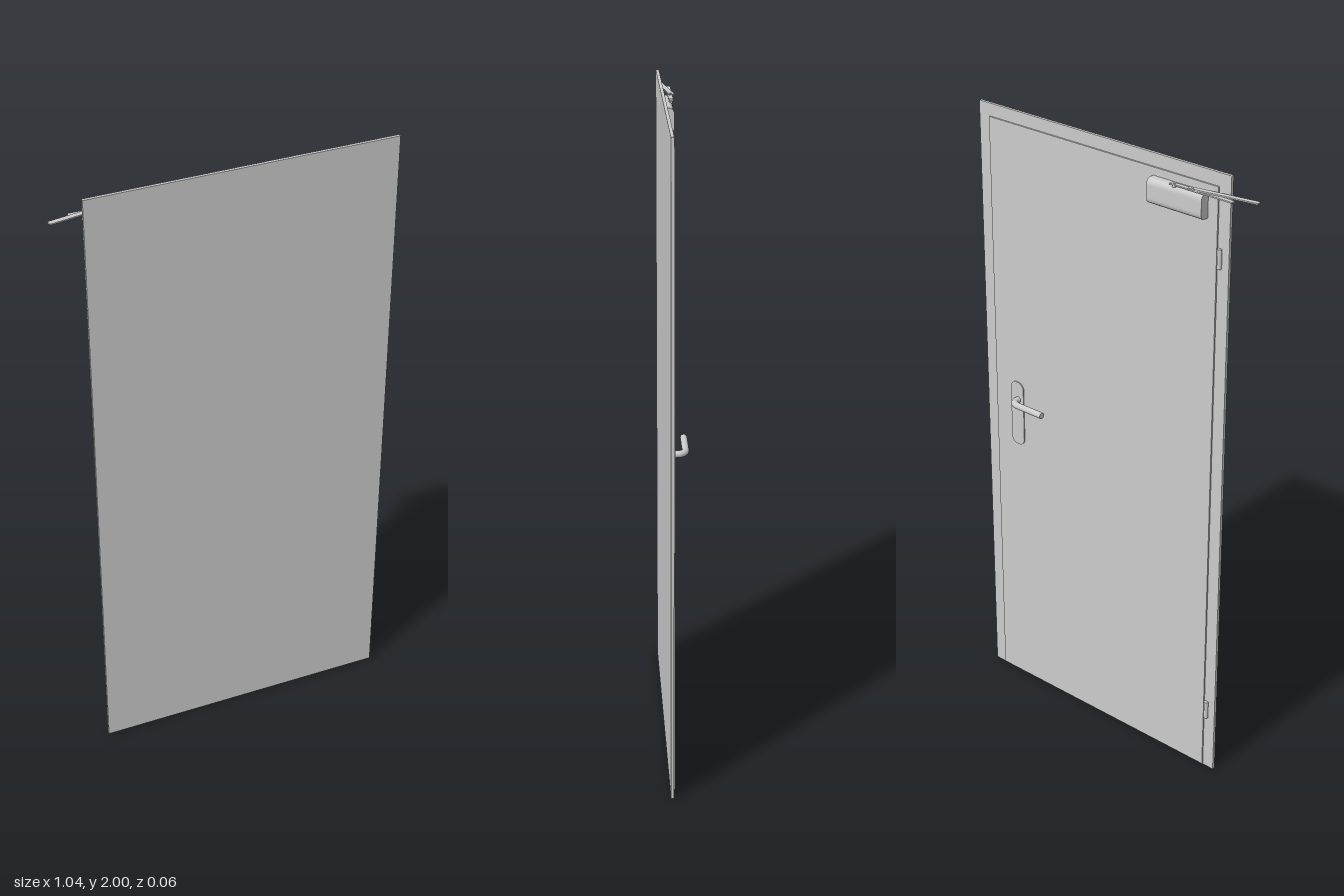
import * as THREE from 'three';

export function createModel() {
  const group = new THREE.Group();
  const material = new THREE.MeshStandardMaterial({ color: 0xcccccc, side: THREE.DoubleSide });

  const add = (name, geometry, x = 0, y = 0, z = 0) => {
    const mesh = new THREE.Mesh(geometry, material);
    mesh.name = name;
    mesh.position.set(x, y, z);
    group.add(mesh);
    return mesh;
  };
  // Box given by its minimum and maximum corners
  const box = (name, [x0, y0, z0], [x1, y1, z1]) =>
    add(name, new THREE.BoxGeometry(x1 - x0, y1 - y0, z1 - z0),
      (x0 + x1) / 2, (y0 + y1) / 2, (z0 + z1) / 2);

  // Door leaf: full front sheet and a smaller rebated slab behind it
  box('frontSheet', [-0.427, 0, 0.021], [0.52, 2, 0.0305]);
  box('rebatedSlab', [-0.387, 0.004, 0.016], [0.477, 1.96, 0.021]);

  // Hinges
  for (const [name, y] of [['upperHinge', 1.75], ['lowerHinge', 0.22]]) {
    add(name, new THREE.CylinderGeometry(0.007, 0.007, 0.06, 16), -0.396, y, 0.018);
  }

  // Handle plate with rounded corners
  const w = 0.026, h = 0.11, r = 0.022;
  const plate = new THREE.Shape();
  plate.moveTo(-w + r, -h);
  plate.lineTo(w - r, -h);
  plate.absarc(w - r, -h + r, r, -Math.PI / 2, 0);
  plate.absarc(w - r, h - r, r, 0, Math.PI / 2);
  plate.absarc(-w + r, h - r, r, Math.PI / 2, Math.PI);
  plate.absarc(-w + r, -h + r, r, Math.PI, Math.PI * 1.5);
  add('handlePlate', new THREE.ExtrudeGeometry(plate, { depth: 0.004, bevelEnabled: false }),
    0.386, 1.0, 0.0125);

  // Lever handle: neck, bend and grip swept as one tube
  const lever = new THREE.CurvePath();
  const v = (x, z) => new THREE.Vector3(x, 0, z);
  lever.add(new THREE.LineCurve3(v(0.382, 0.015), v(0.382, 0.006)));
  lever.add(new THREE.CubicBezierCurve3(v(0.382, 0.006), v(0.382, -0.010), v(0.370, -0.020), v(0.352, -0.020)));
  lever.add(new THREE.LineCurve3(v(0.352, -0.020), v(0.251, -0.020)));
  add('leverHandle', new THREE.TubeGeometry(lever, 48, 0.0103, 20), 0, 1.05, 0);
  const cap = add('leverEnd', new THREE.CircleGeometry(0.0103, 20), 0.251, 1.05, -0.020);
  cap.rotation.y = -Math.PI / 2;

  // Closer body: rounded profile (shape x = -z, y = height) run along x
  const profile = new THREE.Shape();
  profile.moveTo(-0.016, 1.86);
  profile.lineTo(0.001, 1.86);
  profile.quadraticCurveTo(0.014, 1.864, 0.014, 1.88);
  profile.lineTo(0.014, 1.916);
  profile.quadraticCurveTo(0.014, 1.932, 0.001, 1.936);
  profile.lineTo(-0.016, 1.936);
  profile.closePath();
  const body = add('closerBody',
    new THREE.ExtrudeGeometry(profile, { depth: 0.196, bevelEnabled: false, curveSegments: 6 }), -0.353);
  body.rotation.y = Math.PI / 2;

  // Closer linkage: spindle, main arm, and angled second arm above it
  add('closerSpindle', new THREE.CylinderGeometry(0.006, 0.006, 0.012, 16), -0.252, 1.938, -0.007);
  box('closerMainArm', [-0.458, 1.939, -0.015], [-0.24, 1.943, -0.001]);
  const arm = add('closerSecondArm', new THREE.BoxGeometry(0.216, 0.004, 0.016), -0.415, 1.946, 0.004);
  arm.rotation.y = 0.163;
  add('closerPivot', new THREE.CylinderGeometry(0.004, 0.004, 0.01, 12), -0.32, 1.9435, -0.01);

  return group;
}
